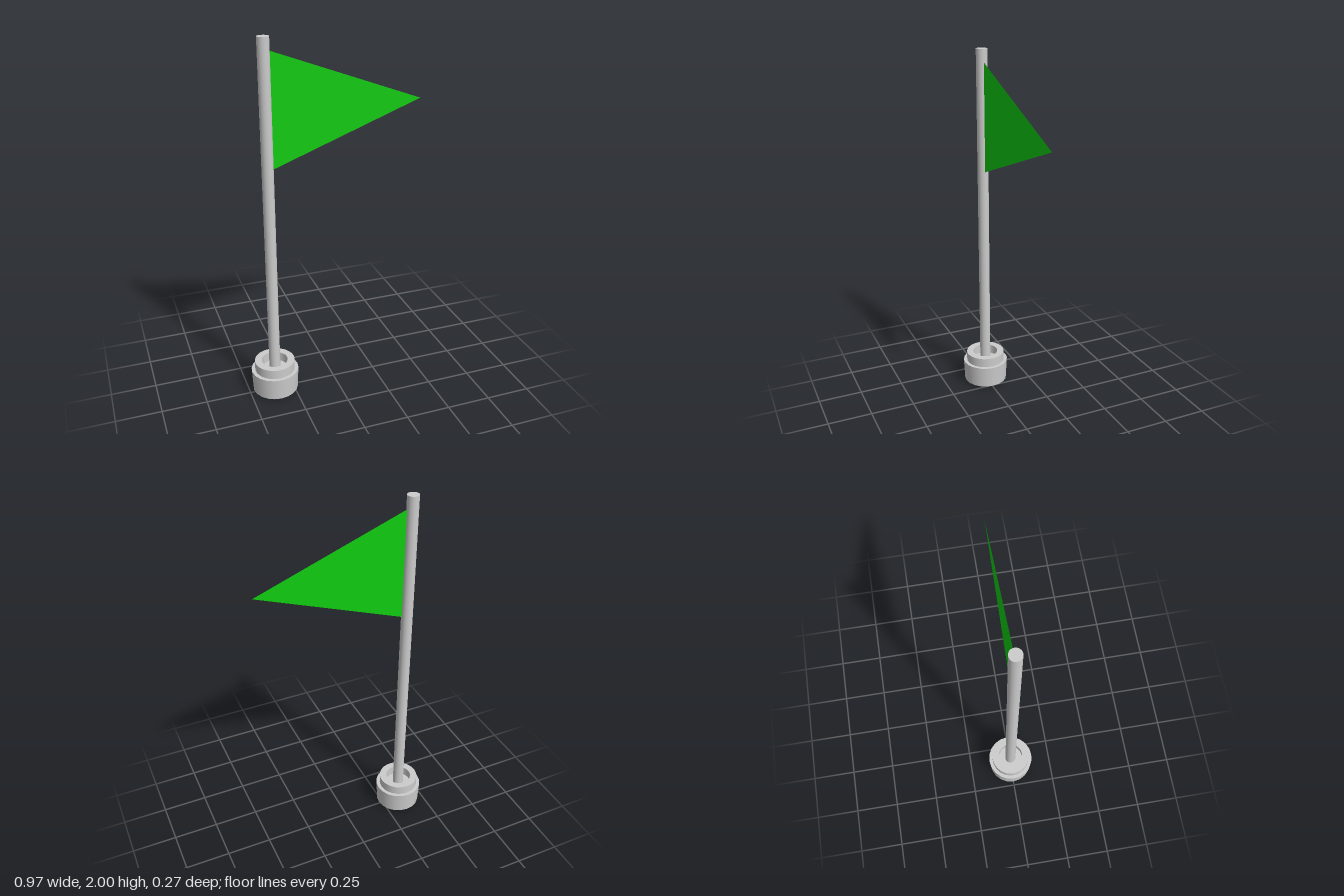
import * as THREE from 'three';

const POLE_X = -0.352;

export function createModel() {
  const group = new THREE.Group();
  const grey = new THREE.MeshStandardMaterial({ color: 0xcccccc });
  const green = new THREE.MeshStandardMaterial({ color: 0x11cc11, side: THREE.DoubleSide });

  const add = (name, geometry, material) => {
    const mesh = new THREE.Mesh(geometry, material);
    mesh.name = name;
    mesh.position.x = POLE_X;
    group.add(mesh);
    return mesh;
  };

  // Lathe a profile with sharp corners: every segment is its own smooth band
  const turned = (name, points, sides) => {
    const part = new THREE.Group();
    part.name = name;
    for (let i = 0; i < points.length - 1; i++) {
      const pair = [points[i], points[i + 1]].map(([r, y]) => new THREE.Vector2(r, y));
      const band = new THREE.Mesh(new THREE.LatheGeometry(pair, sides), grey);
      band.name = `${name}Band${i + 1}`;
      part.add(band);
    }
    part.position.x = POLE_X;
    group.add(part);
  };

  // Foot: slightly flared drum with a very shallow bulge underneath
  turned('foot', [[0, 0.004], [0.127, 0.012], [0.133, 0.138], [0.1, 0.138]], 20);

  // Hollow collar on top of the foot
  turned('collar', [[0.112, 0.13], [0.112, 0.192], [0.073, 0.192], [0.073, 0.138], [0, 0.138]], 32);

  // Pole
  const pole = add('pole', new THREE.CylinderGeometry(0.031, 0.031, 2, 24), grey);
  pole.position.y = 1;

  // Triangular pennant
  const pennant = new THREE.Shape([
    new THREE.Vector2(0.029, 1.33),
    new THREE.Vector2(0.835, 1.63),
    new THREE.Vector2(0.029, 1.93),
  ]);
  add('flag', new THREE.ShapeGeometry(pennant), green);

  return group;
}
